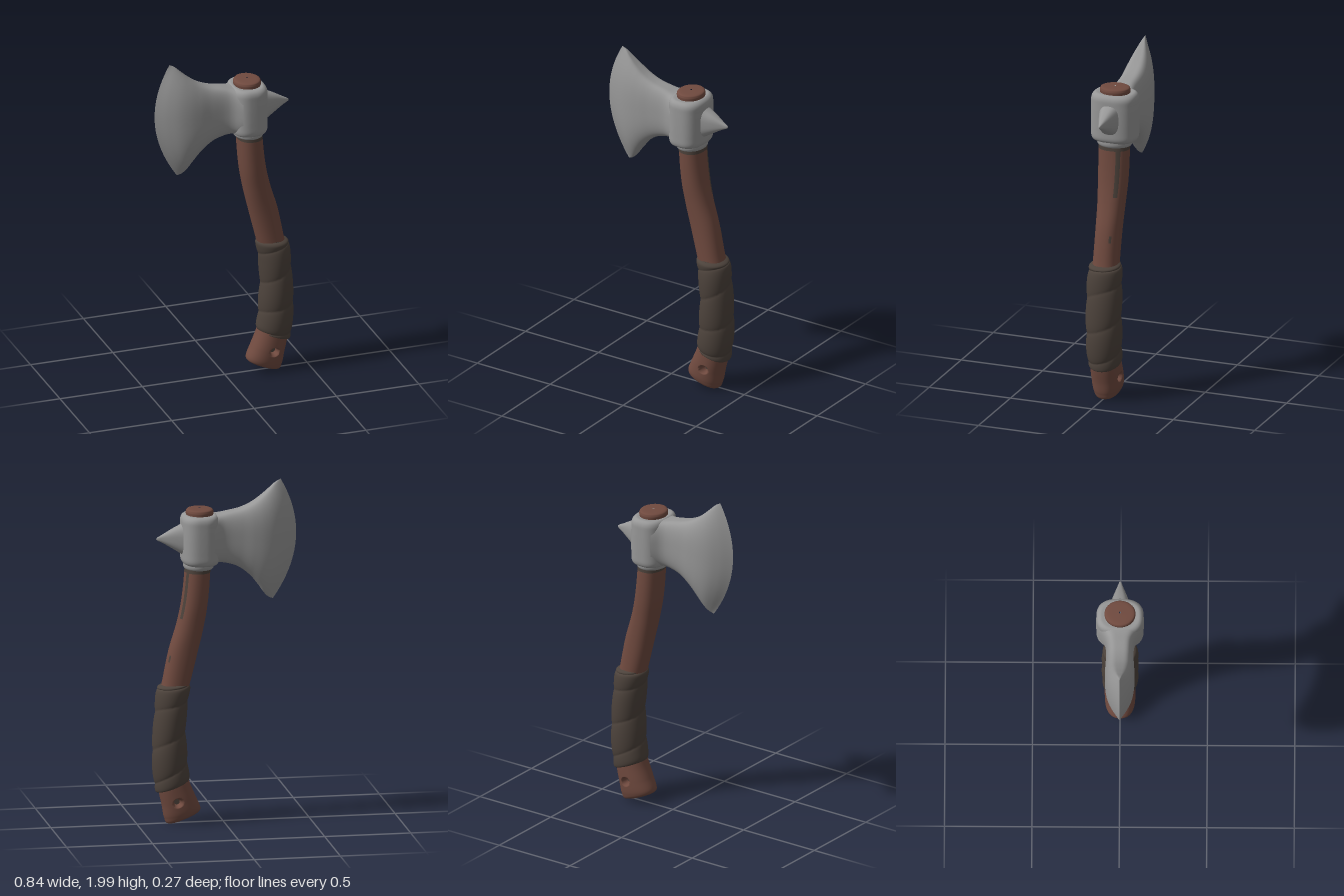
import * as THREE from 'three';

// Skin through cross-sections. Each row: [x, y of one side, x, y of the other side, half depth in z].
function loft(rows, { rings = 40, segs = 48, ec = 1, es = 1, u0 = 0, u1 = 1, a0 = 0, a1 = Math.PI * 2, tweak } = {}) {
  const curve = (f) => new THREE.CatmullRomCurve3(rows.map(f), false, 'catmullrom', 0.5);
  const sideA = curve((r) => new THREE.Vector3(r[0], r[1], r[4]));
  const sideB = curve((r) => new THREE.Vector3(r[2], r[3], 0));
  const closed = a1 - a0 > 6.28;
  const cols = closed ? segs : segs + 1;
  const pow = (v, e) => Math.sign(v) * Math.abs(v) ** e;
  const pos = [], index = [];
  for (let i = 0; i <= rings; i++) {
    const u = u0 + (u1 - u0) * i / rings;
    const A = sideA.getPoint(u), B = sideB.getPoint(u);
    const depth = Math.max(A.z, 0);
    A.z = 0;
    const mid = A.clone().add(B).multiplyScalar(0.5);
    const half = B.clone().sub(A).multiplyScalar(0.5);
    for (let j = 0; j < cols; j++) {
      const a = a0 + (a1 - a0) * j / segs;
      const c = pow(Math.cos(a), ec), s = pow(Math.sin(a), es);
      const p = mid.clone().addScaledVector(half, c);
      p.z += depth * s;
      if (tweak) tweak(p, u, a, c, mid);
      pos.push(p.x, p.y, p.z);
    }
  }
  for (let i = 0; i < rings; i++) for (let j = 0; j < segs; j++) {
    const k = (j + 1) % cols, p = i * cols, q = p + cols;
    index.push(p + j, q + j, p + k, q + j, q + k, p + k);
  }
  const g = new THREE.BufferGeometry();
  g.setAttribute('position', new THREE.Float32BufferAttribute(pos, 3));
  g.setIndex(index);
  g.computeVertexNormals();
  return g;
}

const scaleAbout = (p, mid, k) => p.sub(mid).multiplyScalar(k).add(mid);

export function createModel() {
  const group = new THREE.Group();
  const material = (name, color) => {
    const m = new THREE.MeshStandardMaterial({ color });
    m.name = name;
    return m;
  };
  const metal = material('grey metal', 0x979797);
  const wood = material('brown wood', 0x704a3f);
  const leather = material('dark leather', 0x4c423b);
  const add = (name, geometry, mat) => {
    const mesh = new THREE.Mesh(geometry, mat);
    mesh.name = name;
    group.add(mesh);
    return mesh;
  };

  // Curved handle, from the slanted butt up into the head
  const handle = [
    [0.215, 0.045, 0.23, 0.04, 0.005],
    [0.15, 0.068, 0.318, 0.006, 0.062],
    [0.133, 0.095, 0.342, 0.04, 0.082],
    [0.16, 0.16, 0.355, 0.11, 0.088],
    [0.19, 0.23, 0.37, 0.18, 0.088],
    [0.215, 0.3, 0.385, 0.27, 0.085],
    [0.235, 0.5, 0.39, 0.49, 0.08],
    [0.225, 0.7, 0.375, 0.72, 0.078],
    [0.19, 0.84, 0.35, 0.85, 0.075],
    [0.15, 1.0, 0.315, 1.02, 0.075],
    [0.115, 1.15, 0.27, 1.17, 0.08],
    [0.09, 1.3, 0.24, 1.31, 0.088],
    [0.075, 1.5, 0.22, 1.5, 0.09],
    [0.065, 1.78, 0.205, 1.78, 0.085],
  ];
  const hole = { x: 0.275, y: 0.138 };
  const dent = (p) => {
    const d = Math.hypot(p.x - hole.x, p.y - hole.y);
    p.z *= 0.4 + 0.6 * THREE.MathUtils.smoothstep(d, 0.015, 0.029);
  };
  add('pommel', loft(handle.slice(0, 6), { rings: 110, segs: 96, ec: 0.9, es: 0.9, tweak: dent }), wood);
  const shaft = handle.slice(4);
  add('shaft', loft(shaft, { rings: 80, ec: 0.9, es: 0.9 }), wood);
  const core = add('lanyardHole', new THREE.CylinderGeometry(0.016, 0.016, 0.082, 20), leather);
  core.rotation.x = Math.PI / 2;
  core.position.set(hole.x, hole.y, 0);

  // Dark smudges lying on the shaft: [start, end, first angle, last angle]
  [[0.7, 0.89, -0.68, -0.36], [0.515, 0.54, -0.6, -0.4], [0.878, 0.892, 0, Math.PI * 2]].forEach(([u0, u1, a0, a1]) => {
    const tweak = (p, u, a, c, mid) => scaleAbout(p, mid, 1.015);
    add('shaftStain', loft(shaft, { rings: 12, segs: 32, ec: 0.9, es: 0.9, u0, u1, a0, a1, tweak }), leather);
  });

  // Leather grip with overlapping spiral wraps
  const grip = [
    [0.22, 0.255, 0.37, 0.2, 0.075],
    [0.2, 0.265, 0.388, 0.2, 0.092],
    [0.207, 0.33, 0.4, 0.28, 0.098],
    [0.215, 0.44, 0.408, 0.41, 0.1],
    [0.221, 0.55, 0.402, 0.55, 0.1],
    [0.214, 0.67, 0.392, 0.69, 0.099],
    [0.2, 0.77, 0.383, 0.78, 0.094],
    [0.197, 0.815, 0.375, 0.805, 0.088],
    [0.215, 0.83, 0.355, 0.82, 0.07],
  ];
  const wrap = (p, u, a, c, mid) => {
    const turn = u * 5 + a / (Math.PI * 2);
    const f = turn - Math.floor(turn);
    scaleAbout(p, mid, 0.96 + 0.1 * Math.sqrt(Math.sin(Math.PI * f)));
  };
  add('gripWrap', loft(grip, { rings: 120, segs: 64, tweak: wrap }), leather);

  // Wood end showing above the head
  add('handleTop', loft([
    [0.065, 1.76, 0.21, 1.76, 0.085],
    [0.058, 1.81, 0.214, 1.81, 0.088],
    [0.057, 1.832, 0.214, 1.832, 0.088],
    [0.072, 1.845, 0.2, 1.845, 0.074],
    [0.13, 1.848, 0.142, 1.848, 0.005],
  ]), wood);

  // Socket round the handle, with a collar below
  add('socket', loft([
    [0.08, 1.525, 0.2, 1.525, 0.08],
    [0.045, 1.525, 0.222, 1.525, 0.115],
    [0.03, 1.545, 0.241, 1.545, 0.133],
    [0.028, 1.6, 0.244, 1.6, 0.136],
    [0.028, 1.74, 0.244, 1.74, 0.136],
    [0.03, 1.79, 0.241, 1.79, 0.133],
    [0.045, 1.812, 0.222, 1.812, 0.115],
    [0.07, 1.812, 0.2, 1.812, 0.085],
  ], { rings: 56, segs: 64, ec: 0.75, es: 0.8 }), metal);
  add('collar', loft([
    [0.085, 1.497, 0.205, 1.497, 0.075],
    [0.062, 1.497, 0.222, 1.497, 0.095],
    [0.055, 1.512, 0.23, 1.512, 0.103],
    [0.055, 1.54, 0.23, 1.54, 0.103],
  ], { rings: 24 }), metal);

  // Flared blade: sections run from the socket to the bowed cutting edge
  const blade = [
    [0.07, 1.535, 0.07, 1.808, 0.125],
    [0.025, 1.532, 0.025, 1.812, 0.092],
    [-0.02, 1.524, -0.02, 1.821, 0.08],
    [-0.085, 1.5, -0.1, 1.838, 0.08],
    [-0.15, 1.45, -0.165, 1.866, 0.085],
    [-0.2, 1.39, -0.22, 1.905, 0.083],
    [-0.235, 1.34, -0.265, 1.945, 0.07],
    [-0.262, 1.312, -0.302, 1.98, 0.042],
    [-0.29, 1.3, -0.335, 2.0, 0],
  ];
  const bow = (p, u, a, c) => {
    p.x -= 0.112 * u ** 3 * (1 - c * c);
    p.z *= 1 - 0.55 * u * u * c ** 4;
  };
  add('blade', loft(blade, { rings: 72, segs: 128, ec: 0.8, es: 0.45, tweak: bow }), metal);

  // Faceted spike at the rear of the head
  add('rearSpike', loft([
    [0.215, 1.775, 0.215, 1.565, 0.07],
    [0.245, 1.755, 0.245, 1.585, 0.058],
    [0.3, 1.728, 0.3, 1.62, 0.038],
    [0.35, 1.7, 0.35, 1.65, 0.018],
    [0.382, 1.683, 0.382, 1.666, 0.006],
    [0.388, 1.675, 0.388, 1.674, 0],
  ], { rings: 30, segs: 40, ec: 0.75, es: 0.75 }), metal);

  return group;
}
